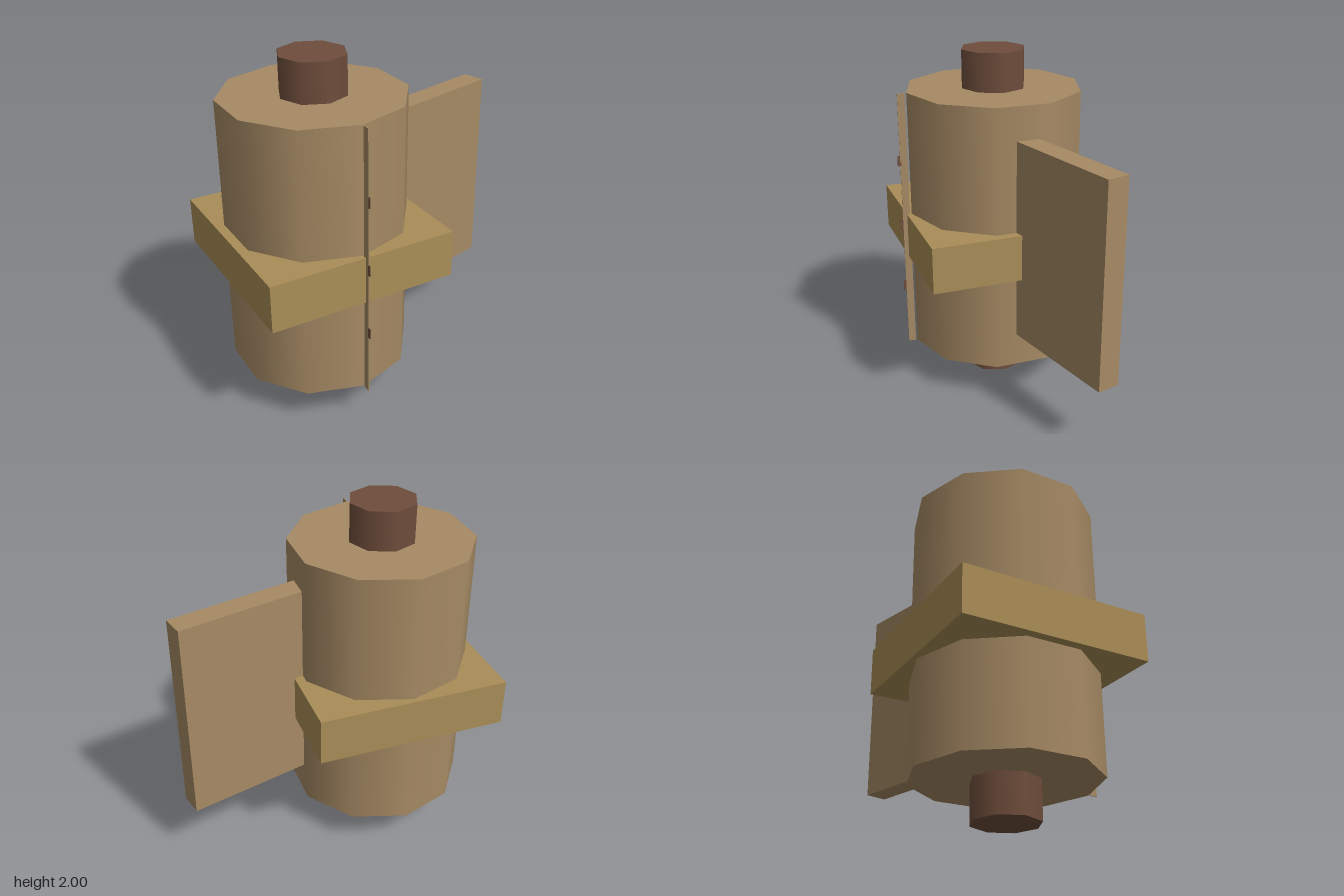
import * as THREE from 'three';

const material = (color) => new THREE.MeshStandardMaterial({ color });

export function createModel() {
  const model = new THREE.Group();
  const wood = material(0xa68a64);
  const brass = material(0xa98d57);
  const darkWood = material(0x6f4e3c);

  // Drum axis
  const axisX = -0.34, axisZ = -0.02;

  function add(name, geometry, mat, x, y, z) {
    const mesh = new THREE.Mesh(geometry, mat);
    mesh.name = name;
    mesh.position.set(x, y, z);
    model.add(mesh);
    return mesh;
  }

  // Ten-sided drum on an eight-sided axle, corners pointing front and back
  add('drum', new THREE.CylinderGeometry(0.512, 0.512, 1.56, 10), wood, axisX, 1, axisZ);
  add('axle', new THREE.CylinderGeometry(0.188, 0.188, 2, 8), darkWood, axisX, 1, axisZ);

  // Square band around the middle
  add('band', new THREE.BoxGeometry(1.08, 0.27, 1.08), brass, axisX, 0.925, axisZ);

  // Side panel, turned slightly to the back, its inner end buried in the drum
  const angle = 0.25, length = 0.95;
  const panel = add('sidePanel', new THREE.BoxGeometry(length, 1.17, 0.13), wood,
    0.857 - Math.cos(angle) * length / 2, 1.003, -0.23 + Math.sin(angle) * length / 2);
  panel.rotation.y = angle;

  // Thin strip standing just off the front corner, with three small studs
  add('frontStrip', new THREE.BoxGeometry(0.005, 1.56, 0.043), wood, axisX, 1, 0.524);
  for (const y of [0.61, 1, 1.39]) {
    add('stripStud', new THREE.BoxGeometry(0.005, 0.06, 0.02), darkWood, axisX, y, 0.55);
  }

  return model;
}
